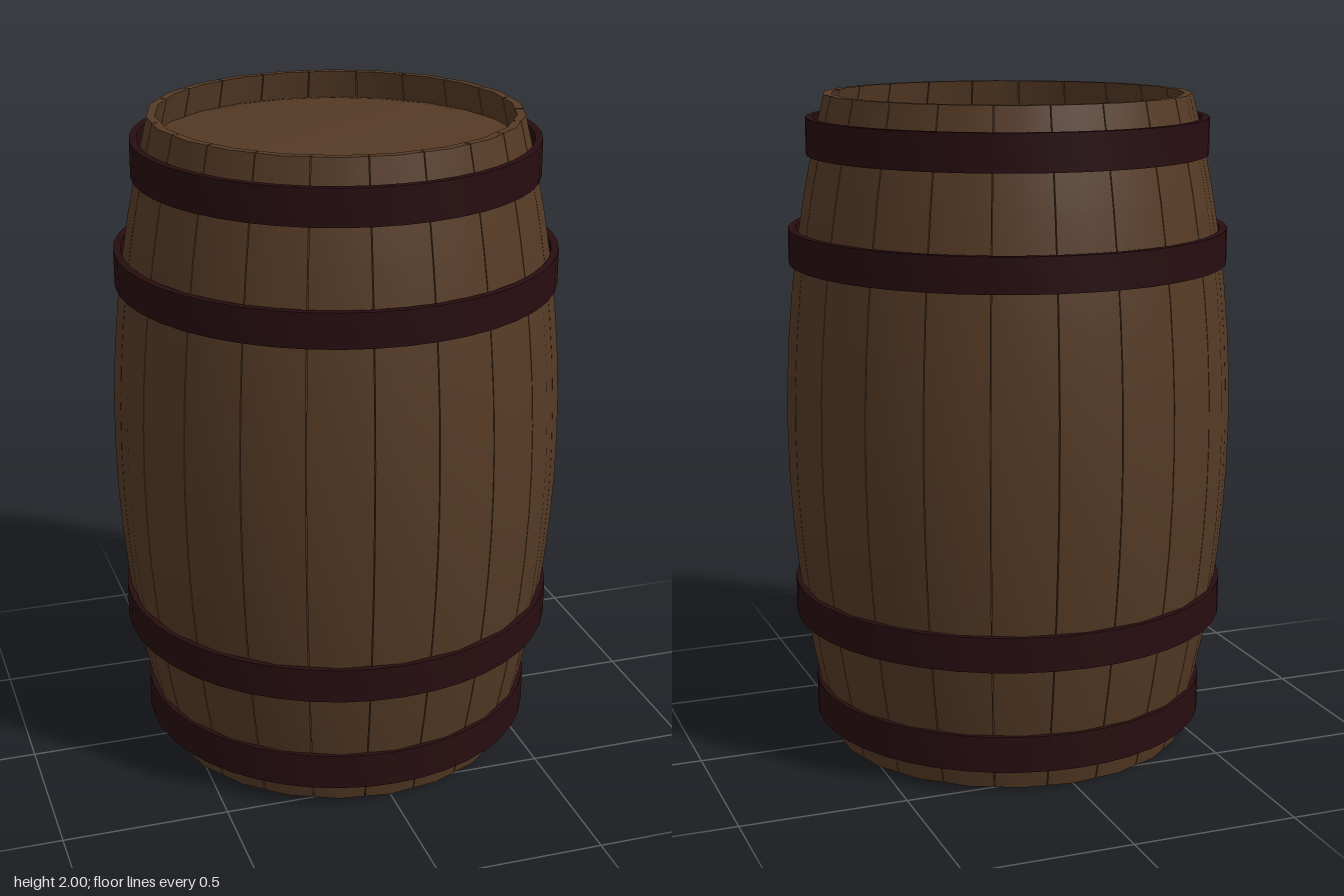
import * as THREE from 'three';
import { toCreasedNormals } from 'three/addons/utils/BufferGeometryUtils.js';

const STAVES = 22;
const HALF = Math.PI / STAVES;
const THICK = 0.025;

// Bulging barrel profile: ridge radius at height y
const radiusAt = (y) => 0.685 - 0.13 * (y - 1) ** 2;

// One stave: a box bent to the bulge, with a shallow ridge down its middle
function staveGeometry() {
  const geo = new THREE.BoxGeometry(2, 2, 1, 2, 14, 1);
  const p = geo.attributes.position;
  for (let i = 0; i < p.count; i++) {
    const side = p.getX(i);
    const y = p.getY(i) + 1;
    const r = radiusAt(y) - (p.getZ(i) < 0 ? THICK : 0);
    const edge = Math.abs(side);
    const x = side * (r * Math.cos(HALF) * Math.sin(HALF) - 0.0015);
    const z = r * (1 - edge * Math.sin(HALF) ** 2);
    p.setXYZ(i, x, y, z);
  }
  return toCreasedNormals(geo, 0.6);
}

// Closed iron band with a rectangular section
function hoopGeometry(radius, y0, y1) {
  const inner = radius - 0.022;
  const profile = [[inner, y0], [radius, y0], [radius, y1], [inner, y1], [inner, y0]]
    .map(([r, y]) => new THREE.Vector2(r, y));
  return toCreasedNormals(new THREE.LatheGeometry(profile, 44), 0.6);
}

export function createModel() {
  const barrel = new THREE.Group();
  barrel.name = 'barrel';
  const wood = new THREE.MeshStandardMaterial({ color: 0x553a25 });
  wood.name = 'brown wood';
  const iron = new THREE.MeshStandardMaterial({ color: 0x270d10 });
  iron.name = 'dark red iron';

  const add = (name, geo, mat) => {
    const mesh = new THREE.Mesh(geo, mat);
    mesh.name = name;
    barrel.add(mesh);
    return mesh;
  };

  // Ring of staves
  const stave = staveGeometry();
  for (let i = 0; i < STAVES; i++) {
    add('stave', stave, wood).rotation.y = i * HALF * 2;
  }

  // Hoops, mirrored about the middle
  for (const [r, y0, y1] of [[0.607, 0.07, 0.18], [0.666, 0.4, 0.505]]) {
    add('lowerHoop', hoopGeometry(r, y0, y1), iron);
    add('upperHoop', hoopGeometry(r, 2 - y1, 2 - y0), iron);
  }

  // Recessed heads with a slightly bevelled rim
  const headProfile = [[0, -0.02], [0.51, -0.02], [0.542, -0.015], [0.542, 0.015], [0.51, 0.02], [0, 0.02]]
    .map(([r, y]) => new THREE.Vector2(r, y));
  const head = toCreasedNormals(new THREE.LatheGeometry(headProfile, STAVES), 0.6);
  add('topHead', head, wood).position.y = 1.9;
  add('bottomHead', head, wood).position.y = 0.1;

  return barrel;
}
